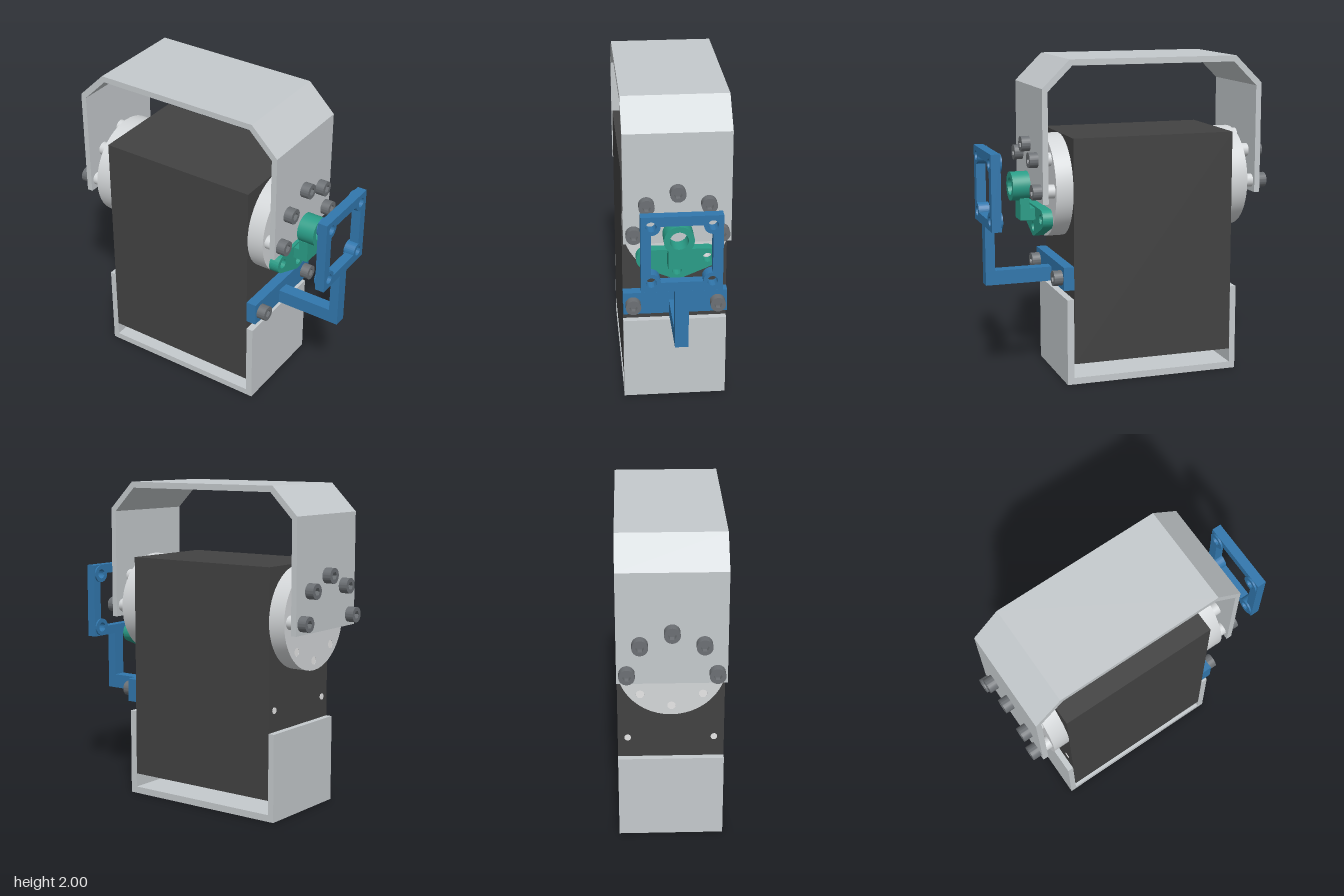
import * as THREE from 'three';
import { toCreasedNormals } from 'three/addons/utils/BufferGeometryUtils.js';

const mat = (name, color) => {
  const m = new THREE.MeshStandardMaterial({ color });
  m.name = name;
  return m;
};

export function createModel() {
  const M = {
    body: mat('charcoal', 0x424242),
    bracket: mat('bracket grey', 0xc5cacd),
    disc: mat('light grey', 0xd4d7d9),
    bolt: mat('bolt grey', 0x6c7074),
    blue: mat('blue', 0x3177ad),
    green: mat('green', 0x2a9d87),
    hole: mat('pale hole', 0xf0f0f0),
  };
  const CX = -0.125; // middle of the motor body
  const AY = 1.208;  // height of the rotation axis
  const HALF = 0.515; // half width of the body
  const R = 0.26;    // bolt circle radius
  const root = new THREE.Group();
  root.name = 'servoAssembly';

  const add = (parent, name, geo, material, x = 0, y = 0, z = 0) => {
    const mesh = new THREE.Mesh(geo, material);
    mesh.name = name;
    mesh.position.set(x, y, z);
    parent.add(mesh);
    return mesh;
  };
  // box given by its limits
  const block = (parent, name, material, x0, x1, y0, y1, z0, z1) =>
    add(parent, name, new THREE.BoxGeometry(x1 - x0, y1 - y0, z1 - z0), material,
      (x0 + x1) / 2, (y0 + y1) / 2, (z0 + z1) / 2);
  const circle = (x, y, r, Type = THREE.Path) => new Type().absarc(x, y, r, 0, Math.PI * 2, false);
  const polygon = (pts) => new THREE.Shape(pts.map(([x, y]) => new THREE.Vector2(x, y)));
  const extrude = (shape, depth) => toCreasedNormals(
    new THREE.ExtrudeGeometry(shape, { depth, bevelEnabled: false, curveSegments: 24 }), 0.6);
  // outline in the z-y plane, pushed out along +x
  const extrudeX = (shape, depth) => extrude(shape, depth).rotateY(Math.PI / 2);
  const rodX = (r, len) => new THREE.CylinderGeometry(r, r, len, 24).rotateZ(Math.PI / 2);
  const polar = (deg, r = R) => [r * Math.cos(deg * Math.PI / 180), r * Math.sin(deg * Math.PI / 180)];

  // socket-head bolt with its seat at x
  const headShape = circle(0, 0, 0.047, THREE.Shape);
  headShape.holes.push(new THREE.Path([0, 1, 2, 3, 4, 5].map((i) => new THREE.Vector2(...polar(i * 60, 0.025)))));
  const headGeo = extrudeX(headShape, 0.055);
  const bolt = (parent, x, y, z) => {
    const g = new THREE.Group();
    g.name = 'bolt';
    g.position.set(x, y, z);
    add(g, 'boltHead', headGeo, M.bolt);
    add(g, 'socketFloor', rodX(0.03, 0.02), M.bolt, 0.012);
    parent.add(g);
  };

  // motor body
  block(root, 'motorBody', M.body, CX - HALF, CX + HALF, 0.13, 1.53, -0.32, 0.32);

  // U-shaped lower bracket
  const lower = polygon([[-0.68, 0], [0.435, 0], [0.435, 0.54], [0.392, 0.54], [0.392, 0.042],
    [-0.642, 0.042], [-0.642, 0.54], [-0.68, 0.54]]);
  add(root, 'lowerBracket', extrude(lower, 0.64), M.bracket, 0, 0, -0.32);

  // upper bracket with chamfered corners
  const half = [[0.705, 1.14], [0.705, 1.83], [0.533, 2.0]];
  const inner = [[0.518, 1.963], [0.67, 1.812], [0.67, 1.14]];
  const flip = (pts) => pts.map(([x, y]) => [-x, y]).reverse();
  const upper = polygon([...half, ...flip(half), ...flip(inner), ...inner]);
  add(root, 'upperBracket', extrude(upper, 0.64), M.bracket, CX, 0, -0.32);

  // horn discs with spacers and bolts, one set for each side
  const discShape = circle(0, 0, 0.32, THREE.Shape);
  for (const a of [225, 270, 315]) discShape.holes.push(circle(...polar(a), 0.025));
  const discGeo = extrudeX(discShape, 0.107);
  for (const side of ['left', 'right']) {
    const g = new THREE.Group();
    g.name = side + 'Horn';
    g.position.set(CX, AY, 0);
    if (side === 'right') g.rotation.y = Math.PI;
    root.add(g);
    add(g, 'hornDisc', discGeo, M.disc, HALF);
    for (const a of [0, 45, 90, 135, 180]) {
      const [z, y] = polar(a);
      add(g, 'spacer', rodX(0.042, 0.06), M.disc, 0.645, y, z);
      bolt(g, 0.705, y, z);
    }
    // open holes on the side without a sensor arm
    if (side === 'right') {
      for (const a of [225, 270, 315]) {
        const [z, y] = polar(a);
        add(g, 'hornHole', rodX(0.025, 0.004), M.hole, 0.618, y, z);
      }
      for (const z of [-R, R]) add(g, 'bodyHole', rodX(0.02, 0.004), M.hole, HALF + 0.001, 0.67 - AY, z);
    }
  }

  // green magnet holder: rounded three-hole plate, arm and ring
  const holder = new THREE.Group();
  holder.name = 'magnetHolder';
  holder.position.y = AY;
  root.add(holder);
  const [hx, hy] = polar(315);
  const plate = new THREE.Shape();
  const rad = Math.PI / 180;
  plate.absarc(-hx, hy, 0.06, 90 * rad, 247.5 * rad, false);
  plate.absarc(0, -R, 0.06, 247.5 * rad, 292.5 * rad, false);
  plate.absarc(hx, hy, 0.06, -67.5 * rad, 90 * rad, false);
  for (const a of [225, 270, 315]) plate.holes.push(circle(...polar(a), 0.03));
  add(holder, 'holderPlate', extrudeX(plate, 0.063), M.green, 0.498);
  block(holder, 'holderFoot', M.green, 0.55, 0.655, -0.208, -0.135, -0.06, 0.06);
  block(holder, 'holderArm', M.green, 0.595, 0.655, -0.208, -0.07, -0.06, 0.06);
  const ring = circle(0, 0, 0.09, THREE.Shape);
  ring.holes.push(circle(0, 0, 0.055));
  add(holder, 'holderRing', extrudeX(ring, 0.11), M.green, 0.595);

  // blue sensor mount: wall bar, arm and upright
  const mount = new THREE.Group();
  mount.name = 'sensorMount';
  root.add(mount);
  block(mount, 'mountBar', M.blue, 0.39, 0.455, 0.6, 0.745, -0.32, 0.32);
  block(mount, 'mountArm', M.blue, 0.455, 0.875, 0.6, 0.69, -0.04, 0.04);
  block(mount, 'mountUpright', M.blue, 0.815, 0.875, 0.69, 0.98, -0.04, 0.04);
  for (const z of [-R, R]) bolt(mount, 0.455, 0.67, z);

  // square frame, its opening rounded inwards by the corner bosses
  const o = 0.236, c = 0.177, b = 0.055;
  const frame = polygon([[-o, -o], [o, -o], [o, o], [-o, o]]);
  const opening = new THREE.Path();
  opening.moveTo(c - b, c);
  [[c, c, 180, 270], [c, -c, 90, 180], [-c, -c, 0, 90], [-c, c, -90, 0]].forEach(([x, y, a0, a1]) =>
    opening.absarc(x, y, b, a0 * rad, a1 * rad, false));
  opening.closePath();
  frame.holes.push(opening);
  const boss = circle(0, 0, b, THREE.Shape);
  boss.holes.push(circle(0, 0, 0.03));
  const bossGeo = extrudeX(boss, 0.012);
  for (const y of [-c, c]) for (const z of [-c, c]) {
    // screw holes break into the opening's corners, so they stay inside the frame rim
    frame.holes.push(circle(z * 0.995, y * 0.995, 0.03));
    add(mount, 'frameBoss', bossGeo, M.blue, 0.804, AY + y, z);
  }
  add(mount, 'sensorFrame', extrudeX(frame, 0.06), M.blue, 0.815, AY, 0);

  return root;
}
